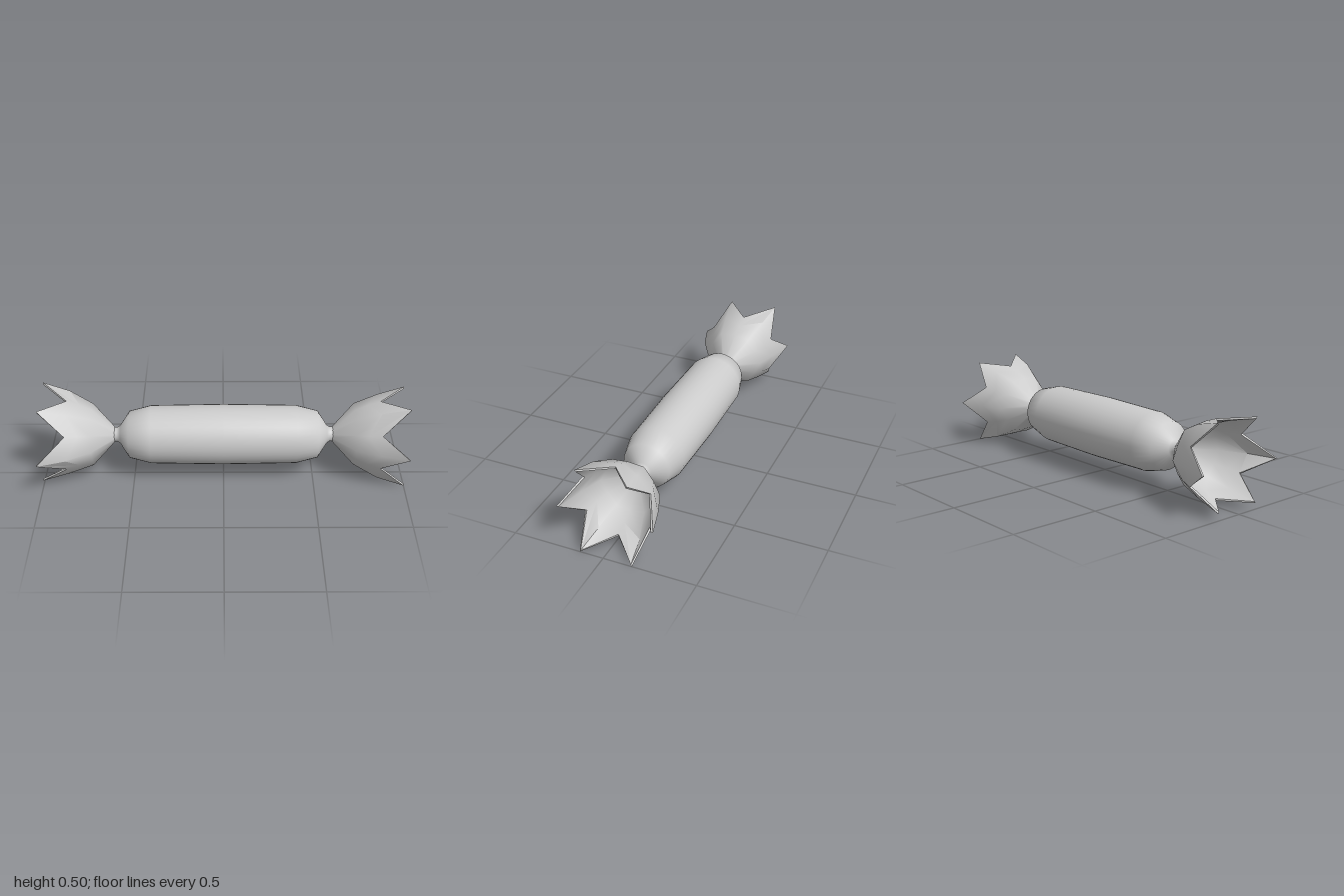
import * as THREE from 'three';
import { toCreasedNormals } from 'three/addons/utils/BufferGeometryUtils.js';

const CY = 0.253, CZ = -0.015; // long axis of the sweet
const material = new THREE.MeshStandardMaterial({ color: 0xcccccc, side: THREE.DoubleSide });

// Twisted wrapper end: a pleated, thin-walled cup with six pointed tips.
// tips: [y, z] of each point, running from the top towards +z.
function wrapperEnd(tips, side) {
  const columns = [];
  const polar = ([y, z]) => ({ r: Math.hypot(y - CY, z - CZ), a: Math.atan2(z - CZ, y - CY) });
  tips.forEach((tip, i) => {
    const p = polar(tip), q = polar(tips[(i + 1) % tips.length]);
    let gap = q.a - p.a;
    if (gap < 0) gap += Math.PI * 2;
    // ridge up to the tip, then the valley up to the notch
    columns.push({ a: p.a, profile: [[0.6, 0.04], [0.72, 0.17], [0.85, p.r * 0.84], [1, p.r]] });
    columns.push({ a: p.a + gap / 2, profile: [[0.6, 0.04], [0.72, 0.155], [0.785, 0.187], [0.855, 0.212]] });
  });

  // outer wall outwards, inner wall back in, then the closed bottom
  const wall = 0.011, rows = 9, n = columns.length;
  const positions = [], index = [];
  for (let i = 0; i < rows; i++) {
    for (const { a, profile } of columns) {
      let x, r;
      if (i < 4) [x, r] = profile[i];
      else if (i < 8) {
        [x, r] = profile[7 - i];
        r -= wall;
        if (i === 7) x += 0.01;
      } else [x, r] = [0.61, 0.001];
      positions.push(side * x, CY + Math.cos(a) * r, CZ + Math.sin(a) * r);
    }
  }
  for (let i = 0; i < rows - 1; i++) {
    for (let j = 0; j < n; j++) {
      const k = (j + 1) % n;
      const a = i * n + j, b = i * n + k, c = a + n, d = b + n;
      if (side > 0) index.push(a, b, c, b, d, c);
      else index.push(a, c, b, b, c, d);
    }
  }
  const geometry = new THREE.BufferGeometry();
  geometry.setAttribute('position', new THREE.Float32BufferAttribute(positions, 3));
  geometry.setIndex(index);
  return new THREE.Mesh(toCreasedNormals(geometry, 0.95), material);
}

export function createModel() {
  const group = new THREE.Group();

  // Barrel-shaped body with pinched necks, turned about the x axis
  const half = [[0, 0.167], [0.4, 0.161], [0.52, 0.13], [0.57, 0.052], [0.588, 0.04], [0.61, 0.042]];
  const mirrored = half.slice(1).reverse().map(([x, r]) => [-x, r]);
  const profile = [...mirrored, ...half].map(([x, r]) => new THREE.Vector2(r, x));
  const body = new THREE.Mesh(new THREE.LatheGeometry(profile, 32), material);
  body.name = 'body';
  body.rotation.z = -Math.PI / 2;
  body.position.set(0, CY, CZ);
  group.add(body);

  const left = wrapperEnd([[0.5, 0.13], [0.25, 0.245], [0.003, 0.13], [0.003, -0.157], [0.25, -0.275], [0.48, -0.145]], 1);
  left.name = 'leftWrapperEnd';
  const right = wrapperEnd([[0.48, 0.11], [0.237, 0.275], [0.035, 0.12], [0.04, -0.15], [0.25, -0.265], [0.495, -0.17]], -1);
  right.name = 'rightWrapperEnd';
  group.add(left, right);

  return group;
}
